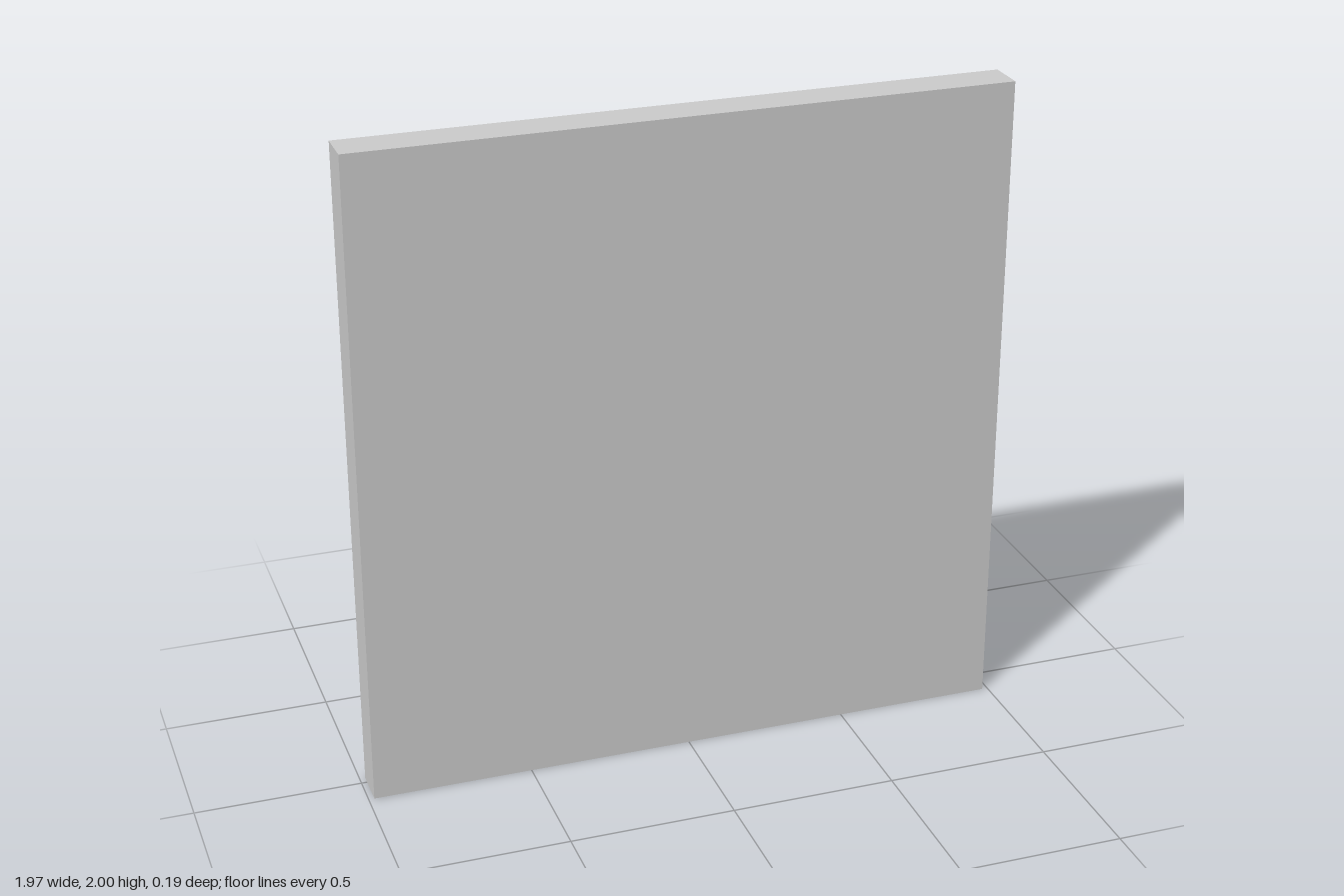
import * as THREE from 'three';

// Lofts a closed solid through rectangles [halfWidth, halfHeight, z], ordered front to back.
function loftRects(rects) {
  const signs = [[-1, -1], [1, -1], [1, 1], [-1, 1]];
  const rings = rects.map(([w, h, z]) => signs.map(([sx, sy]) => [sx * w, sy * h, z]));
  const positions = [];
  const quad = (a, b, c, d) => [a, b, c, a, c, d].forEach((p) => positions.push(...p));

  for (let k = 0; k < rings.length - 1; k++) {
    for (let i = 0; i < 4; i++) {
      const j = (i + 1) % 4;
      quad(rings[k][i], rings[k + 1][i], rings[k + 1][j], rings[k][j]);
    }
  }
  const first = rings[0];
  const last = rings[rings.length - 1];
  quad(first[0], first[1], first[2], first[3]);
  quad(last[3], last[2], last[1], last[0]);

  const geometry = new THREE.BufferGeometry();
  geometry.setAttribute('position', new THREE.Float32BufferAttribute(positions, 3));
  geometry.computeVertexNormals();
  return geometry;
}

export function createModel() {
  const group = new THREE.Group();
  const halfW = 0.983, halfH = 1;
  const front = 0.095, back = -0.025, grooveFloor = 0.025;
  const grooveOuter = 0.123, grooveInner = 0.257;

  // Door slab with a rectangular groove cut into its back face
  const section = [
    [0, front], [0, back],
    [grooveOuter, back], [grooveOuter, grooveFloor],
    [grooveInner, grooveFloor], [grooveInner, back],
  ];
  const door = new THREE.Mesh(
    loftRects(section.map(([inset, z]) => [halfW - inset, halfH - inset, z])),
    new THREE.MeshStandardMaterial({ color: 0xcccccc, flatShading: true })
  );
  door.name = 'doorPanel';
  door.position.y = halfH;
  group.add(door);

  // Square knob, flaring outward from the groove floor
  const knob = new THREE.Mesh(
    loftRects([[0.027, 0.027, grooveFloor], [0.066, 0.066, -0.095]]),
    new THREE.MeshStandardMaterial({ color: 0x9eb4ad, flatShading: true })
  );
  knob.name = 'knob';
  knob.position.set(0.778, 1.475, 0);
  group.add(knob);

  return group;
}
